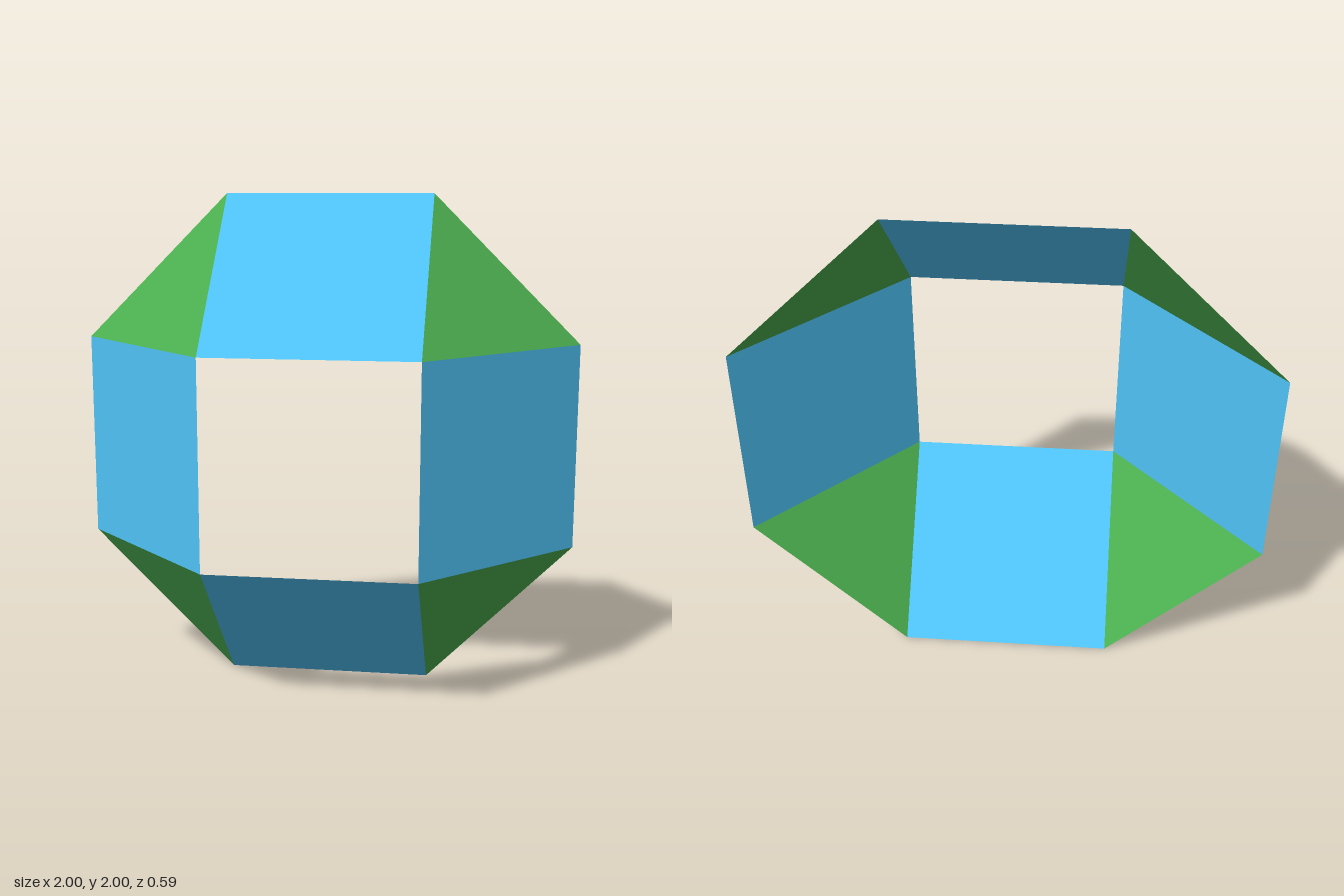
import * as THREE from 'three';

// Open ring of four square panels joined by four corner triangles
export function createModel() {
  const group = new THREE.Group();
  const inner = Math.SQRT2 - 1; // half edge length
  const front = inner / Math.SQRT2; // half depth
  const back = -front;

  const paint = (color) =>
    new THREE.MeshStandardMaterial({ color, flatShading: true, side: THREE.DoubleSide });
  const blue = paint(0x4fc3f7);
  const green = paint(0x4caf50);

  // Flat convex panel from its corners, counter-clockwise seen from the front
  const panel = (corners) => {
    const geometry = new THREE.BufferGeometry();
    geometry.setAttribute('position', new THREE.Float32BufferAttribute(corners.flat(), 3));
    geometry.setIndex(corners.length === 4 ? [0, 1, 2, 0, 2, 3] : [0, 1, 2]);
    geometry.computeVertexNormals();
    return geometry;
  };

  const square = panel([
    [-inner, inner, front], [inner, inner, front], [inner, 1, back], [-inner, 1, back],
  ]);
  const triangle = panel([
    [inner, inner, front], [1, inner, back], [inner, 1, back],
  ]);

  // Four quarter turns, starting at the top and its left corner
  const sides = ['top', 'right', 'bottom', 'left'];
  const corners = ['topLeft', 'topRight', 'bottomRight', 'bottomLeft'];
  for (let i = 0; i < 4; i++) {
    const squareMesh = new THREE.Mesh(square, blue);
    squareMesh.name = `${sides[i]}SquarePanel`;
    const triangleMesh = new THREE.Mesh(triangle, green);
    triangleMesh.name = `${corners[i]}TrianglePanel`;
    for (const mesh of [squareMesh, triangleMesh]) {
      mesh.rotation.z = (i * Math.PI) / 2;
      mesh.position.y = 1;
      group.add(mesh);
    }
  }

  group.name = 'openSquareCupola';
  return group;
}
